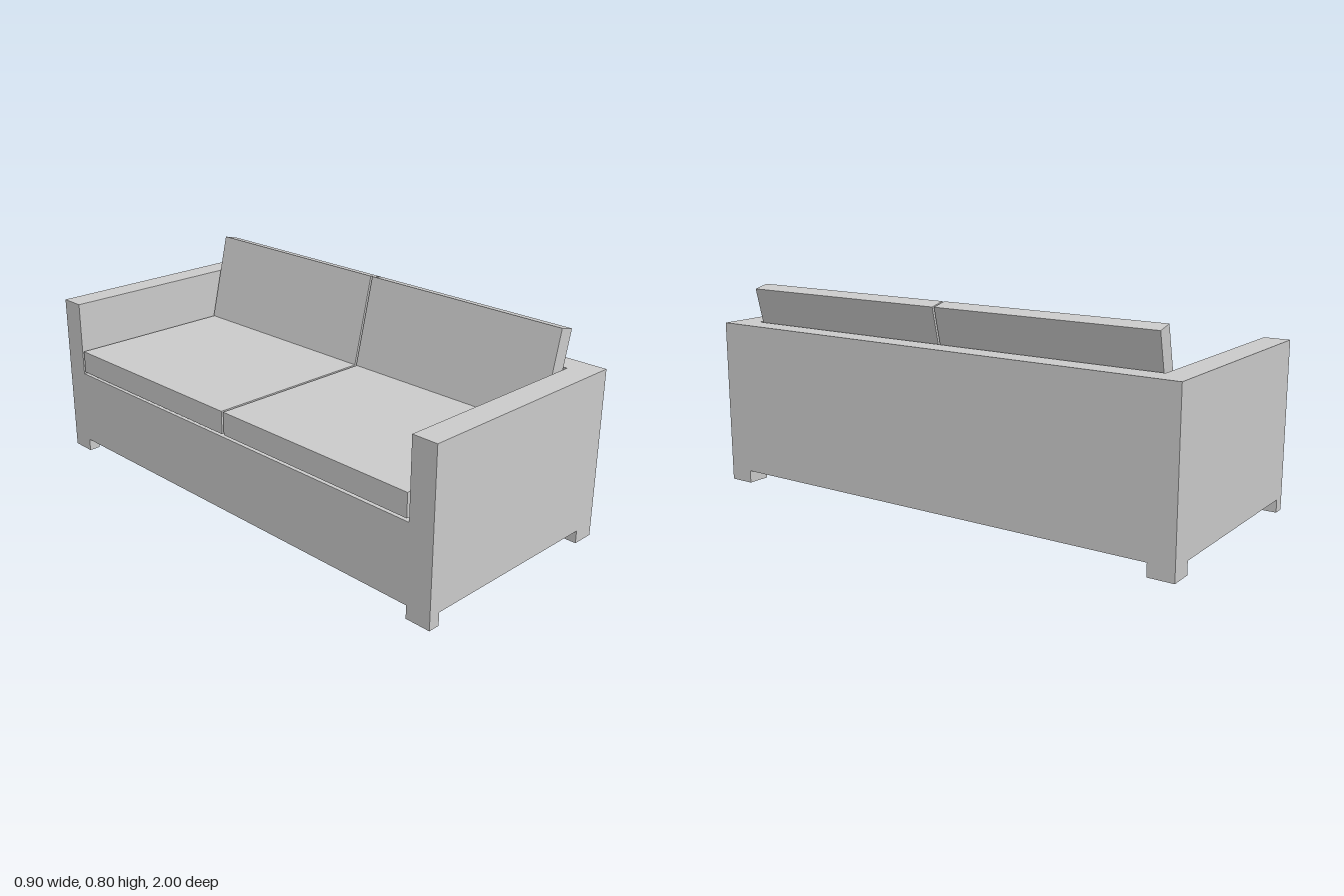
import * as THREE from 'three';

export function createModel() {
  const sofa = new THREE.Group();
  sofa.name = 'sofa';
  const material = new THREE.MeshStandardMaterial({ color: 0xcccccc, flatShading: true });

  // Box given by its minimum and maximum corner
  function block(name, [x0, y0, z0], [x1, y1, z1]) {
    const mesh = new THREE.Mesh(new THREE.BoxGeometry(x1 - x0, y1 - y0, z1 - z0), material);
    mesh.position.set((x0 + x1) / 2, (y0 + y1) / 2, (z0 + z1) / 2);
    mesh.name = name;
    sofa.add(mesh);
    return mesh;
  }

  // Frame: seat base and backrest between the two arms; the seat faces -x
  block('seatBase', [-0.45, 0.05, -0.9], [0.36, 0.35, 0.9]);
  block('backrest', [0.36, 0.05, -0.9], [0.45, 0.65, 0.9]);

  const tilt = 0.235, thickness = 0.061, height = 0.36;

  for (const side of [-1, 1]) {
    const end = side > 0 ? 'Left' : 'Right';
    // z range mirrored to this end of the sofa
    const span = (name, x0, x1, y0, y1, zIn, zOut) => block(name + end,
      [x0, y0, Math.min(side * zIn, side * zOut)],
      [x1, y1, Math.max(side * zIn, side * zOut)]);

    span('arm', -0.45, 0.45, 0.05, 0.65, 0.9, 1);
    span('frontLeg', -0.45, -0.405, 0, 0.05, 0.9, 1);
    span('backLeg', 0.36, 0.45, 0, 0.05, 0.9, 1);
    span('seatCushion', -0.45, 0.355, 0.36, 0.45, 0.005, 0.89);

    // Back cushion leaning on the backrest, pivoting about its lower front edge
    const cushion = span('backCushion', 0, thickness, 0, height, 0.004, 0.89);
    cushion.geometry.translate(thickness / 2, height / 2, 0);
    cushion.position.x = 0.241;
    cushion.position.y = 0.451;
    cushion.rotation.z = -tilt;
  }
  return sofa;
}
